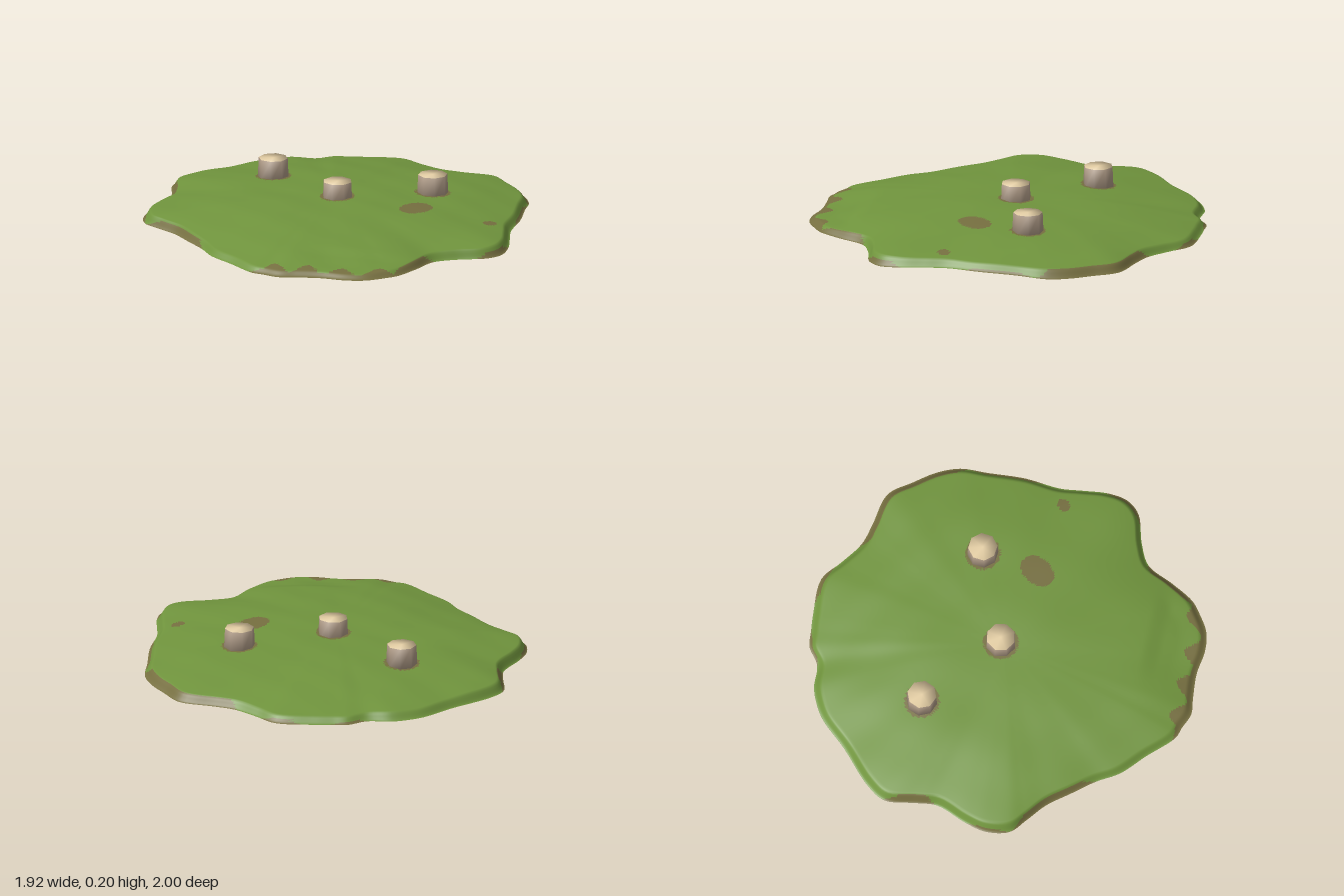
import * as THREE from 'three';
import { mergeVertices } from 'three/addons/utils/BufferGeometryUtils.js';

function material(name, color, side = THREE.FrontSide) {
  const m = new THREE.MeshStandardMaterial({ color, side });
  m.name = name;
  return m;
}
const grass = material('grass green', 0x70943d, THREE.DoubleSide);
const soil = material('soil brown', 0x766f40, THREE.DoubleSide);
const bark = material('grey brown wood', 0xac9884);
const cutWood = material('cream wood', 0xe6d0a6);

// Shoreline as x, z pairs, starting at the back and running over the left side
const OUTLINE = [
  0, -1, 0.19, -1, 0.3, -0.92, 0.42, -0.84, 0.53, -0.81, 0.71, -0.77, 0.8, -0.66, 0.88, -0.55,
  0.925, -0.44, 0.93, -0.3, 0.94, -0.1, 0.925, 0.08, 0.94, 0.2, 0.955, 0.33, 0.94, 0.43, 0.88, 0.5,
  0.73, 0.55, 0.62, 0.61, 0.55, 0.75, 0.48, 0.87, 0.42, 0.92, 0.33, 0.975, 0.23, 0.99, 0.1, 0.975,
  -0.03, 0.985, -0.12, 0.995, -0.2, 0.965, -0.26, 0.945, -0.39, 0.82, -0.51, 0.71, -0.58, 0.6, -0.67, 0.49,
  -0.76, 0.38, -0.86, 0.3, -0.94, 0.23, -0.965, 0.11, -0.94, 0, -0.88, -0.16, -0.89, -0.27, -0.91, -0.43,
  -0.85, -0.53, -0.68, -0.69, -0.55, -0.83, -0.47, -0.88, -0.39, -0.91, -0.27, -0.92, -0.18, -0.98, -0.1, -0.99,
];
const POSTS = [[-0.38, -0.35], [0.467, -0.22], [0.01, -0.025]];

// Bare stretches of the bank: start and end angle in degrees, width
const BARE_BANK = [
  [-169, -154, 0.035], [-107, -95, 0.018], [-87, -74, 0.022], [-65, -23, 0.035], [-23, 0, 0.014],
  [18, 33, 0.022], [44, 64, 0.035], [64, 107, 0.03], [134, 166, 0.026], [166, 180, 0.016],
];

const { smoothstep, radToDeg } = THREE.MathUtils;

// Gently domed ground with small bumps and a steep bank at the edge
function groundHeight(x, z, t) {
  const r = Math.hypot(x, z) || 1;
  const side = (x / r) ** 2;
  const bank = side * (x > 0 ? 0.046 : 0.042) + (1 - side) * (z > 0 ? 0.015 : 0.024);
  let y = bank + (0.12 - bank) * (1 - t ** 2.5);
  y += 0.003 * Math.sin(7 * x + 2 * z) * Math.cos(8 * z - 3 * x) + 0.002 * Math.sin(17 * x - 9 * z) * Math.sin(13 * z);
  // Ledge near the front
  y -= 0.012 * smoothstep(z, 0.68, 0.78) * smoothstep(x, -0.1, 0.2) * (1 - smoothstep(x, 0.35, 0.6)) * (1 - smoothstep(t, 0.85, 1));
  const drop = smoothstep(t, 0.96, 1);
  // The left edge curls up a little off the floor
  const lift = x > 0.8 ? 0.016 * Math.max(0, 1 - ((z + 0.02) / 0.45) ** 2) : 0;
  return Math.max(0, y * (1 - drop) + lift * drop);
}

const inEllipse = (x, z, cx, cz, rx, rz) => {
  const dz = z - cz, u = x - cx + 0.25 * dz;
  return (u / rx) ** 2 + (dz / rz) ** 2 < 1;
};

// Bare soil: worn spots, rings around the posts and parts of the bank
function isSoil(x, z, t) {
  if (inEllipse(x, z, 0.432, 0.072, 0.076, 0.09)) return true;
  if (inEllipse(x, z, 0.824, 0.122, 0.033, 0.034)) return true;
  if (POSTS.some(([px, pz]) => Math.hypot(x - px, z - pz) < 0.09)) return true;
  // Scalloped patches along the front
  const front = 0.925 + 0.035 * Math.sin(x * 36 - 2.4) - 0.75 * Math.max(0, x - 0.34);
  if (x > -0.22 && x < 0.52 && z > front) return true;
  const a = radToDeg(Math.atan2(z, x));
  return BARE_BANK.some(([from, to, width]) => {
    const taper = Math.min(1, (a - from) / 4, (to - a) / 4);
    return t > 1 - width * taper && taper > 0;
  });
}

function createGround() {
  const around = 288, rings = 84;
  const pts = [];
  for (let i = 0; i < OUTLINE.length; i += 2) pts.push(new THREE.Vector3(OUTLINE[i], 0, OUTLINE[i + 1]));
  const edge = new THREE.CatmullRomCurve3(pts, true, 'centripetal').getPoints(around);
  const position = [0, groundHeight(0, 0, 0), 0];
  const fractions = [0];
  for (let k = 1; k <= rings; k++) {
    const t = 1 - (1 - k / rings) ** 1.25;
    fractions.push(t);
    for (let i = 0; i < around; i++) {
      const x = edge[i].x * t, z = edge[i].z * t;
      position.push(x, groundHeight(x, z, t), z);
    }
  }
  const green = [], brown = [];
  const face = (t, ...ids) => {
    const x = ids.reduce((s, i) => s + position[i * 3], 0) / 3;
    const z = ids.reduce((s, i) => s + position[i * 3 + 2], 0) / 3;
    (isSoil(x, z, t) ? brown : green).push(...ids);
  };
  for (let k = 1; k <= rings; k++) {
    const t = (fractions[k] + fractions[k - 1]) / 2;
    for (let i = 0; i < around; i++) {
      const j = (i + 1) % around;
      const outer = 1 + (k - 1) * around, inner = outer - around;
      if (k === 1) {
        face(t, 0, outer + j, outer + i);
      } else {
        face(t, inner + i, outer + j, outer + i);
        face(t, inner + i, inner + j, outer + j);
      }
    }
  }
  const geometry = new THREE.BufferGeometry();
  geometry.setAttribute('position', new THREE.Float32BufferAttribute(position, 3));
  geometry.setIndex(green.concat(brown));
  geometry.addGroup(0, green.length, 0);
  geometry.addGroup(green.length, brown.length, 1);
  geometry.computeVertexNormals();
  const ground = new THREE.Mesh(geometry, [grass, soil]);
  ground.name = 'ground';
  return ground;
}

// Short eight-sided stump with soft shading over its edges
function createPostGeometry() {
  let geometry = new THREE.CylinderGeometry(0.075, 0.08, 0.11, 8);
  geometry.deleteAttribute('normal');
  geometry.deleteAttribute('uv');
  geometry = mergeVertices(geometry);
  geometry.computeVertexNormals();
  return geometry;
}

export function createModel() {
  const model = new THREE.Group();
  model.name = 'grassMound';
  model.add(createGround());
  const postGeometry = createPostGeometry();
  POSTS.forEach(([x, z], i) => {
    const post = new THREE.Mesh(postGeometry, [bark, cutWood, bark]);
    post.name = `post${i + 1}`;
    post.position.set(x, 0.145, z);
    post.rotation.y = i * 0.3;
    model.add(post);
  });
  return model;
}
